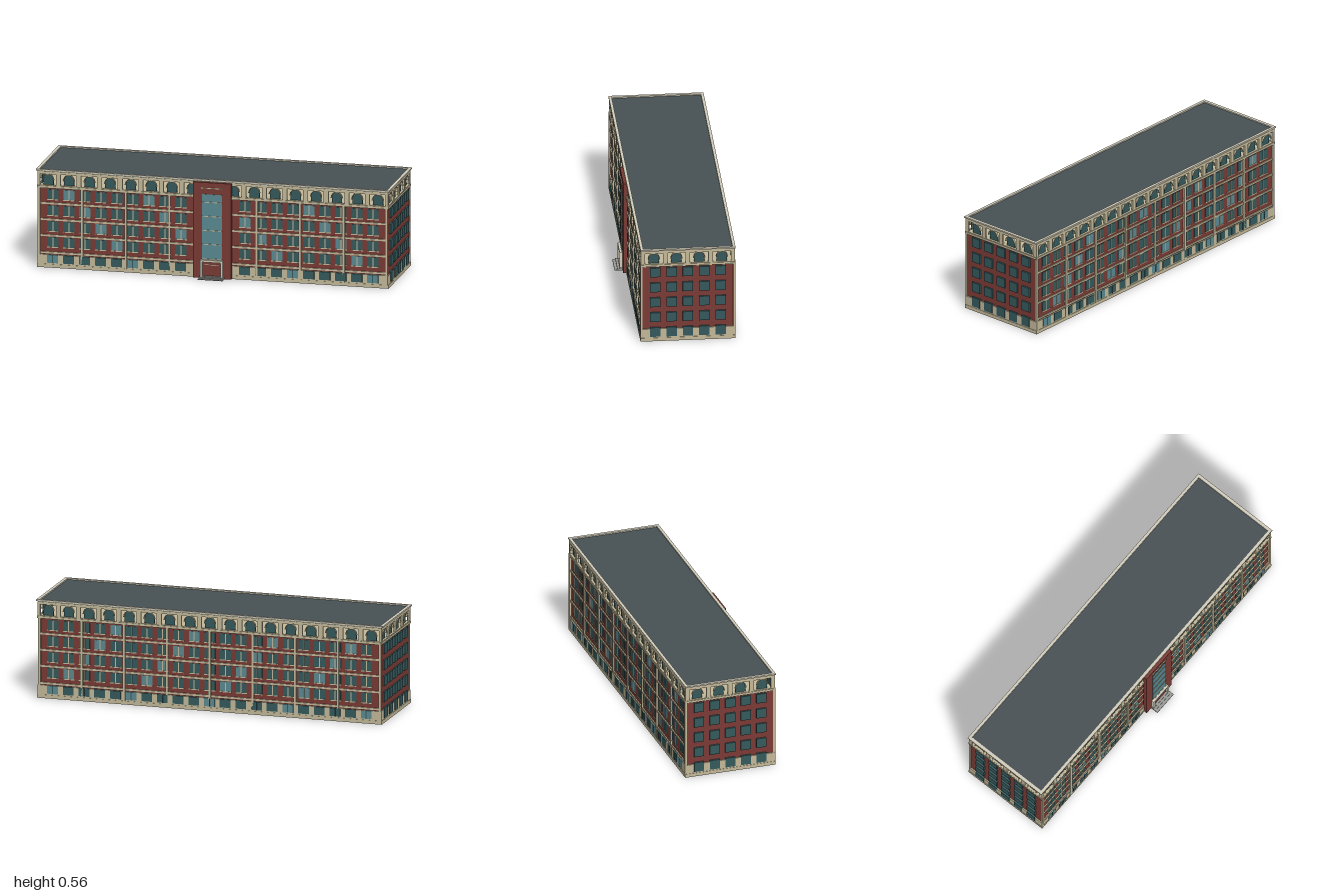
import * as THREE from 'three';

const mat = (color, side = THREE.FrontSide) => new THREE.MeshStandardMaterial({ color, side });
const brick = mat(0x7a3a35);
const stone = mat(0xc2b899);
const paleStone = mat(0xd2cdbb);
const glass = mat(0x35595c, THREE.DoubleSide);
const lightGlass = mat(0x5b8a92);
const slate = mat(0x475053);
const concrete = mat(0x9b9c98);

// Box given by its limits on each axis
function box(parent, name, material, [x0, x1], [y0, y1], [z0, z1]) {
  const mesh = new THREE.Mesh(new THREE.BoxGeometry(x1 - x0, y1 - y0, z1 - z0), material);
  mesh.position.set((x0 + x1) / 2, (y0 + y1) / 2, (z0 + z1) / 2);
  mesh.name = name;
  parent.add(mesh);
  return mesh;
}

function rectPath(Type, x0, x1, y0, y1) {
  return new Type().moveTo(x0, y0).lineTo(x1, y0).lineTo(x1, y1).lineTo(x0, y1).closePath();
}

function extrude(parent, name, material, shape, z0, depth) {
  const geometry = new THREE.ExtrudeGeometry(shape, { depth, bevelEnabled: false, curveSegments: 10 });
  const mesh = new THREE.Mesh(geometry, material);
  mesh.position.z = z0;
  mesh.name = name;
  parent.add(mesh);
  return mesh;
}

// Round-headed outline standing on y0
function archPath(Type, cx, half, y0, spring) {
  const p = new Type();
  p.moveTo(cx - half, y0).lineTo(cx + half, y0).lineTo(cx + half, spring);
  p.absarc(cx, spring, half, 0, Math.PI, false);
  p.closePath();
  return p;
}

const ROWS = [0.027, 0.117, 0.207, 0.297, 0.388]; // window sill heights
const PITCH = 0.0905;
const MIDZ = -0.03;

// Open top-floor arcade in a facade's own frame: wall face at z = 0
function attic(parent, halfWidth, bays, pitch, half) {
  const wall = rectPath(THREE.Shape, -halfWidth, halfWidth, 0.45, 0.545);
  for (let i = 0; i < bays; i++) {
    const x = (i - (bays - 1) / 2) * pitch;
    wall.holes.push(rectPath(THREE.Path, x - half, x + half, 0.467, 0.53));
    extrude(parent, 'archedWindow', glass, archPath(THREE.Shape, x, 0.029, 0.467, 0.498), -0.017, 0.004);
    const ring = new THREE.Shape();
    ring.absarc(x, 0.498, 0.032, 0, Math.PI, false);
    ring.absarc(x, 0.498, 0.028, Math.PI, 0, true);
    extrude(parent, 'archTrim', stone, ring, -0.014, 0.012);
    for (const s of [-1, 1])
      box(parent, 'archBracket', stone, [x + s * 0.03 - 0.003, x + s * 0.03 + 0.003], [0.495, 0.5], [-0.014, 0]);
  }
  extrude(parent, 'arcadeWall', stone, wall, -0.01, 0.01);
  box(parent, 'arcadeSill', stone, [-halfWidth, halfWidth], [0.452, 0.464], [0, 0.003]);
}

// Long facade: paired windows, string courses and pilasters
function longFacade(isFront) {
  const g = new THREE.Group();
  g.name = isFront ? 'frontFacade' : 'backFacade';
  for (let i = 0; i < 21; i++) {
    const x = (i - 10) * PITCH;
    if (isFront && Math.abs(x) < 0.1) continue;
    const column = isFront ? i : 20 - i;
    ROWS.forEach((y, row) => {
      const w = 0.031, z = row === 0 ? 0 : -0.008;
      const top = row === 0 ? 0.073 : y + 0.055;
      const pane = (column + row) % 5 === 0 ? lightGlass : glass;
      box(g, 'windowPane', pane, [x - w, x + w], [y, top], [z - 0.004, z + 0.002]);
      box(g, 'windowMullion', row ? stone : glass, [x - 0.0025, x + 0.0025], [y, top], [z, z + 0.004]);
      if (row) box(g, 'windowSill', stone, [x - w - 0.002, x + w + 0.002], [y - 0.005, y], [z, z + 0.004]);
    });
  }
  for (const y of [0.084, 0.181, 0.272, 0.364])
    box(g, 'stringCourse', stone, [-0.985, 0.985], [y - 0.005, y + 0.005], [-0.01, -0.002]);
  for (let k = -4; k <= 4; k++) {
    if (isFront && k === 0) continue;
    const x = Math.abs(k) === 4 ? Math.sign(k) * 0.983 : k * 0.2465;
    box(g, 'pilaster', stone, [x - 0.007, x + 0.007], [0.0, 0.455], [-0.01, 0.002]);
  }
  attic(g, 0.992, 17, 0.1165, 0.045);
  return g;
}

// End facade: plain brick with square windows
function endFacade(side) {
  const g = new THREE.Group();
  g.name = side > 0 ? 'leftEnd' : 'rightEnd';
  for (let i = -2; i <= 2; i++)
    for (const y of ROWS)
      box(g, 'endWindow', glass, [i * PITCH - 0.0285, i * PITCH + 0.0285], [y, y + 0.055], [-0.012, 0.003]);
  attic(g, 0.26, 4, 0.125, 0.05);
  g.rotation.y = side * Math.PI / 2;
  g.position.set(side * 0.992, 0, MIDZ);
  return g;
}

// Brick entrance tower with tall glazing, portal and steps
function entranceTower() {
  const g = new THREE.Group();
  g.name = 'entranceTower';
  box(g, 'towerWall', brick, [-0.108, 0.108], [0, 0.543], [0.225, 0.248]);
  box(g, 'towerGlazing', lightGlass, [-0.056, 0.056], [0.1, 0.477], [0.24, 0.25]);
  for (const y of [0.11, 0.193, 0.272, 0.352, 0.432])
    box(g, 'glazingRail', stone, [-0.056, 0.056], [y - 0.002, y + 0.002], [0.245, 0.253]);
  box(g, 'towerTrim', stone, [-0.06, 0.06], [0.51, 0.514], [0.245, 0.253]);
  const portal = rectPath(THREE.Shape, -0.064, 0.064, 0, 0.106);
  portal.holes.push(rectPath(THREE.Path, -0.053, 0.053, 0.004, 0.094));
  extrude(g, 'portalFrame', paleStone, portal, 0.246, 0.018);
  box(g, 'door', brick, [-0.054, 0.054], [0.004, 0.095], [0.245, 0.252]);
  box(g, 'doorTrim', paleStone, [-0.04, 0.04], [0.076, 0.079], [0.25, 0.254]);
  [[0.293, 0.005], [0.277, 0.01], [0.264, 0.015]].forEach(([z, y], i) =>
    box(g, 'step', concrete, [-0.07 + i * 0.001, 0.07 - i * 0.001], [y - 0.005, y], [0.245, z]));
  return g;
}

export function createModel() {
  const model = new THREE.Group();
  model.name = 'building';

  // Main block
  box(model, 'brickBody', brick, [-0.985, 0.985], [0.01, 0.452], [-0.282, 0.222]);
  box(model, 'stoneBase', stone, [-0.992, 0.992], [0, 0.073], [-0.29, 0.23]);
  box(model, 'plinth', stone, [-0.994, 0.994], [0, 0.02], [-0.292, 0.232]);
  box(model, 'atticFloor', stone, [-0.983, 0.983], [0.45, 0.465], [-0.281, 0.221]);

  // Facades
  const front = longFacade(true);
  front.position.z = 0.23;
  const back = longFacade(false);
  back.rotation.y = Math.PI;
  back.position.z = -0.29;
  model.add(front, back, endFacade(1), endFacade(-1));

  // Roof and coping
  box(model, 'roof', slate, [-0.99, 0.99], [0.535, 0.549], [-0.288, 0.228]);
  const coping = rectPath(THREE.Shape, -1, 1, -0.262, 0.262);
  coping.holes.push(rectPath(THREE.Path, -0.982, 0.982, -0.246, 0.246));
  const rim = extrude(model, 'roofCoping', paleStone, coping, 0, 0.008);
  rim.rotation.x = -Math.PI / 2;
  rim.position.set(0, 0.548, MIDZ);

  model.add(entranceTower());
  return model;
}
